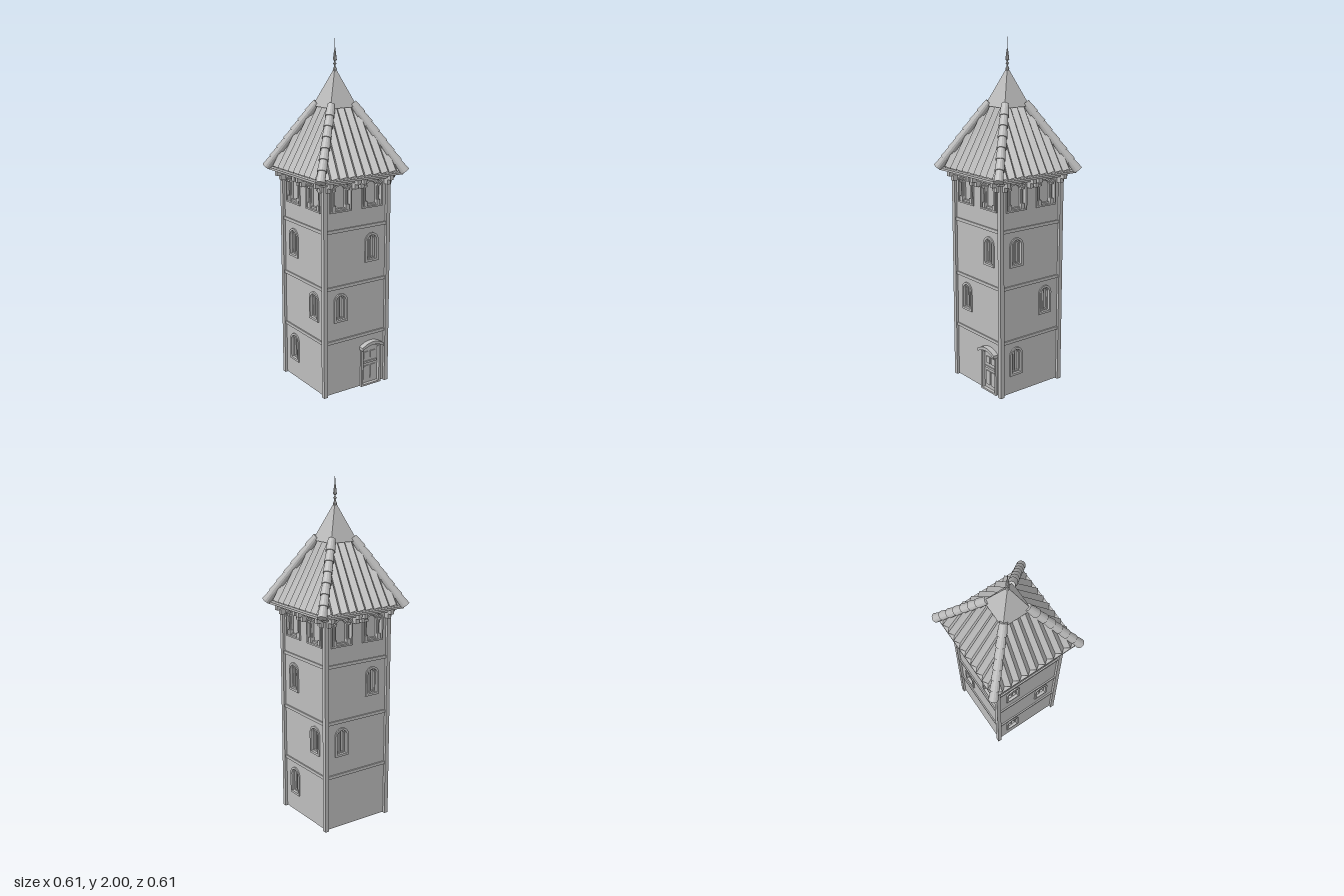
import * as THREE from 'three';

const stone = new THREE.MeshStandardMaterial({ color: 0xbdbdbd, flatShading: true, side: THREE.DoubleSide });
stone.name = 'grey stone';

function add(parent, name, geometry, x = 0, y = 0, z = 0) {
  const mesh = new THREE.Mesh(geometry, stone);
  mesh.name = name;
  mesh.position.set(x, y, z);
  parent.add(mesh);
  return mesh;
}

const box = (parent, name, w, h, d, x, y, z) => add(parent, name, new THREE.BoxGeometry(w, h, d), x, y, z);

// Arched outline standing on (x, y)
function arch(w, h, rise, x = 0, y = 0) {
  const s = new THREE.Shape();
  s.moveTo(x - w / 2, y);
  s.lineTo(x + w / 2, y);
  s.lineTo(x + w / 2, y + h - rise);
  s.absellipse(x, y + h - rise, w / 2, rise, 0, Math.PI, false);
  s.closePath();
  return s;
}

const extrude = (shape, depth) =>
  new THREE.ExtrudeGeometry(shape, { depth, bevelEnabled: false, curveSegments: 8 });

function archFrame(w, h, rise, t, depth) {
  const s = arch(w, h, rise);
  s.holes.push(arch(w - 2 * t, h - 2 * t, Math.max(rise - t, 0.012), 0, t));
  return extrude(s, depth);
}

// Narrow arched window with a central bar
function addWindow(side, x, y) {
  const g = new THREE.Group();
  g.name = 'window';
  g.position.set(x, y, 0);
  add(g, 'windowFrame', archFrame(0.09, 0.168, 0.045, 0.013, 0.03), 0, 0, 0.188);
  add(g, 'windowInnerFrame', archFrame(0.064, 0.142, 0.032, 0.007, 0.012), 0, 0.013, 0.19);
  box(g, 'windowBar', 0.007, 0.14, 0.01, 0, 0.08, 0.195);
  side.add(g);
}

// Wide belfry opening with two small columns
function addBelfryWindow(side, x, y) {
  const g = new THREE.Group();
  g.name = 'belfryWindow';
  g.position.set(x, y, 0);
  add(g, 'belfryFrame', archFrame(0.142, 0.168, 0.045, 0.009, 0.03), 0, 0, 0.188);
  for (const s of [-1, 1]) {
    const cx = s * 0.044;
    add(g, 'belfryColumn', new THREE.CylinderGeometry(0.007, 0.007, 0.11, 8), cx, 0.075, 0.204);
    box(g, 'columnBase', 0.022, 0.03, 0.022, cx, 0.023, 0.204);
    box(g, 'columnCapital', 0.022, 0.012, 0.022, cx, 0.124, 0.204);
  }
  add(g, 'belfryInnerArch', archFrame(0.088, 0.145, 0.04, 0.01, 0.014), 0, 0.009, 0.189);
  side.add(g);
}

function addDoor(side, x) {
  const g = new THREE.Group();
  g.name = 'door';
  g.position.x = x;
  add(g, 'doorPanel', extrude(arch(0.12, 0.245, 0.03), 0.012), 0, 0, 0.19);
  for (const s of [-1, 1]) box(g, 'doorJamb', 0.013, 0.235, 0.034, s * 0.063, 0.1175, 0.205);
  // Curved hood
  const hood = new THREE.Shape();
  hood.moveTo(-0.076, 0.232);
  hood.quadraticCurveTo(0, 0.282, 0.076, 0.232);
  hood.lineTo(0.076, 0.25);
  hood.quadraticCurveTo(0, 0.302, -0.076, 0.25);
  hood.closePath();
  add(g, 'doorHood', extrude(hood, 0.05), 0, 0, 0.192);
  for (const s of [-1, 1]) {
    box(g, 'doorPane', 0.036, 0.04, 0.006, s * 0.024, 0.185, 0.204);
    box(g, 'doorLowerPanel', 0.036, 0.085, 0.006, s * 0.024, 0.075, 0.204);
  }
  box(g, 'doorRail', 0.1, 0.012, 0.008, 0, 0.14, 0.205);
  box(g, 'doorStep', 0.13, 0.01, 0.032, 0, 0.005, 0.206);
  side.add(g);
}

// Zigzag tile sheet, each fold running from the eave to the hip
function tileSheet() {
  const pos = [], folds = 20, half = 0.275;
  const line = [];
  for (let i = 0; i <= folds; i++) {
    const x0 = half * (2 * i / folds - 1), a = Math.abs(x0);
    const v = Math.min(1, Math.max(0, (half - a) / (0.2 - 0.15 * a)));
    const off = i % 2 ? -0.013 : 0.013;
    const point = t => [x0 * (1 - 0.15 * t), 1.268 + 0.36 * t + off * 0.486, 0.265 - 0.2 * t + off * 0.874];
    line.push([point(0), point(v)]);
  }
  for (let i = 0; i < folds; i++) {
    const [a, d] = line[i], [b, c] = line[i + 1];
    pos.push(...a, ...b, ...c, ...a, ...c, ...d);
  }
  const geo = new THREE.BufferGeometry();
  geo.setAttribute('position', new THREE.Float32BufferAttribute(pos, 3));
  geo.computeVertexNormals();
  return geo;
}

// Four-sided frustum given by half widths
function frustum(top, bottom, height) {
  const geo = new THREE.CylinderGeometry(top * Math.SQRT2, bottom * Math.SQRT2, height, 4);
  return geo.rotateY(Math.PI / 4);
}

export function createModel() {
  const model = new THREE.Group();
  model.name = 'tower';

  for (let k = 0; k < 4; k++) {
    const side = new THREE.Group();
    side.name = ['frontSide', 'leftSide', 'backSide', 'rightSide'][k];
    side.rotation.y = k * Math.PI / 2;
    model.add(side);

    // Windows alternate left and right from storey to storey
    const dir = k % 2 ? -1 : 1;
    const windows = [[dir * 0.105, 0.755], [-dir * 0.105, 0.435]];
    if (k % 2) windows.push([-0.105, 0.112]);

    // Pierced wall with a backing sheet
    const wall = new THREE.Shape();
    wall.moveTo(-0.21, 0.004);
    wall.lineTo(0.21, 0.004);
    wall.lineTo(0.21, 1.25);
    wall.lineTo(-0.21, 1.25);
    wall.closePath();
    for (const [x, y] of windows) wall.holes.push(arch(0.08, 0.158, 0.04, x, y + 0.005));
    for (const x of [-0.105, 0.105]) wall.holes.push(arch(0.132, 0.158, 0.04, x, 1.075));
    if (k === 0) wall.holes.push(arch(0.12, 0.235, 0.03, 0.105, 0.008));
    add(side, 'wall', extrude(wall, 0.02), 0, 0, 0.19);
    box(side, 'wallBacking', 0.38, 1.245, 0.004, 0, 0.6265, 0.188);

    for (const [x, y] of windows) addWindow(side, x, y);
    for (const x of [-0.105, 0.105]) addBelfryWindow(side, x, 1.07);
    if (k === 0) addDoor(side, 0.105);

    // Storey bands and corner post
    for (const y of [0.322, 0.641, 0.966]) box(side, 'storeyBand', 0.41, 0.018, 0.012, 0, y, 0.212);
    box(side, 'cornerPost', 0.025, 1.245, 0.025, 0.2125, 0.6225, 0.2125);

    // Stepped eave brackets
    for (const x of [-0.2, -0.02, 0.02, 0.2]) {
      box(side, 'lowerBracket', 0.022, 0.03, 0.04, x, 1.207, 0.22);
      box(side, 'upperBracket', 0.022, 0.025, 0.06, x, 1.232, 0.236);
    }
    box(side, 'eaveBeam', 0.48, 0.018, 0.022, 0, 1.238, 0.229);

    // Roof covering
    add(side, 'roofTiles', tileSheet());

    // Overlapping hip tiles
    const low = new THREE.Vector3(0.279, 1.266, 0.279);
    const high = new THREE.Vector3(0.074, 1.632, 0.074);
    const up = high.clone().sub(low);
    const length = up.length(), count = 7;
    const turn = new THREE.Quaternion().setFromUnitVectors(new THREE.Vector3(0, 1, 0), up.clone().normalize());
    for (let i = 0; i < count; i++) {
      const geo = new THREE.CylinderGeometry(0.021, 0.027, length / count * 1.15, 14);
      const tile = add(side, 'hipTile', geo);
      tile.position.lerpVectors(low, high, (i + 0.5) / count);
      tile.quaternion.copy(turn);
    }
  }

  // Roof body and smooth cap
  box(model, 'eaveBoard', 0.55, 0.012, 0.55, 0, 1.253, 0);
  add(model, 'roofBody', frustum(0.055, 0.25, 0.36), 0, 1.439, 0);
  add(model, 'roofCap', frustum(0.004, 0.089, 0.205), 0, 1.7175, 0);

  // Spire finial
  const profile = [[0, 1.8], [0.009, 1.805], [0.011, 1.82], [0.005, 1.832], [0.004, 1.84], [0.01, 1.848],
    [0.004, 1.856], [0.004, 1.862], [0.011, 1.868], [0.005, 1.915], [0.0025, 1.925], [0, 2]];
  add(model, 'finial', new THREE.LatheGeometry(profile.map(p => new THREE.Vector2(...p)), 8));

  return model;
}
